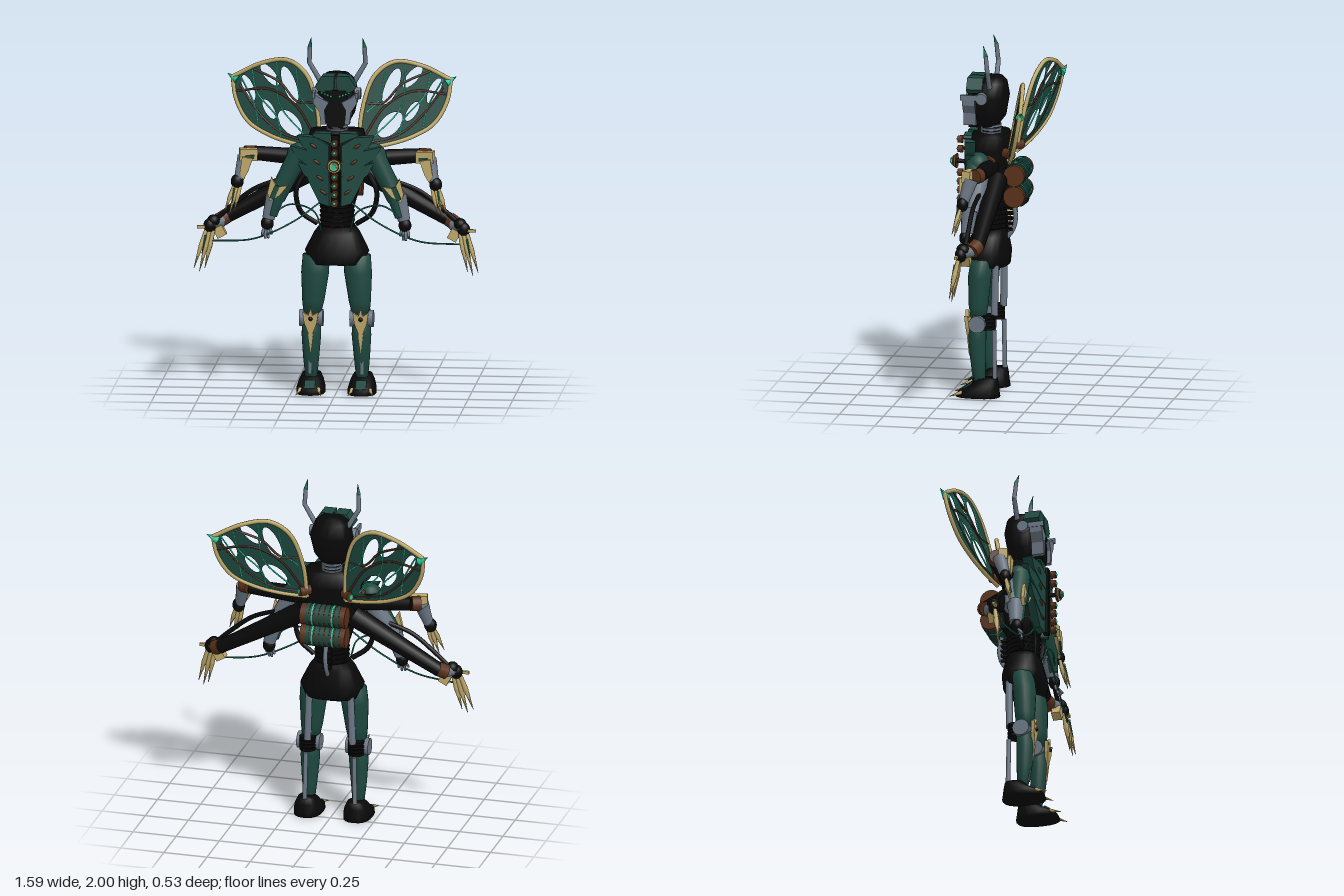
import * as THREE from 'three';

const paint = (name, color) => Object.assign(new THREE.MeshStandardMaterial({ color }), { name });
const black = paint('black', 0x080808), teal = paint('teal', 0x1d473f), gold = paint('gold', 0xbfa96a);
const grey = paint('grey', 0x6b7784), brown = paint('brown', 0x59311a), green = paint('green', 0x20c898);
const rust = paint('rust', 0x43251a), wire = paint('wireGreen', 0x1d6b58);
const V = (p) => new THREE.Vector3(...p);

function add(parent, name, geo, mat, pos = [0, 0, 0], rot = [0, 0, 0]) {
  const m = new THREE.Mesh(geo, mat);
  m.name = name;
  m.position.set(...pos);
  m.rotation.set(...rot);
  parent.add(m);
  return m;
}
// Tapered rod between two points
function limb(parent, name, mat, a, b, r1, r2 = r1, sides = 16) {
  const d = V(b).sub(V(a));
  const m = add(parent, name, new THREE.CylinderGeometry(r2, r1, d.length(), sides), mat);
  m.position.copy(V(a)).addScaledVector(d, 0.5);
  m.quaternion.setFromUnitVectors(new THREE.Vector3(0, 1, 0), d.normalize());
  return m;
}
function tube(parent, name, mat, pts, r, seg = 24, sides = 8) {
  return add(parent, name, new THREE.TubeGeometry(new THREE.CatmullRomCurve3(pts.map(V)), seg, r, sides), mat);
}
function ball(parent, name, mat, pos, r, scale = [1, 1, 1]) {
  return add(parent, name, new THREE.SphereGeometry(r, 16, 12).scale(...scale), mat, pos);
}
const box = (parent, name, mat, size, pos, rot) => add(parent, name, new THREE.BoxGeometry(...size), mat, pos, rot);
// Flat plate from outline points
function plate(parent, name, mat, pts, depth, pos, rot) {
  const s = new THREE.Shape(pts.map((p) => new THREE.Vector2(...p)));
  return add(parent, name, new THREE.ExtrudeGeometry(s, { depth, bevelEnabled: false }), mat, pos, rot);
}
// Body through stacked oval sections [y, x, z, rx, rz]
function loft(parent, name, mat, sections, n = 20, power = 1) {
  const pos = [], idx = [], rows = sections.length;
  const sq = (t) => Math.sign(t) * Math.abs(t) ** power;
  for (const [y, x, z, rx, rz] of sections)
    for (let i = 0; i < n; i++) {
      const a = (i / n) * Math.PI * 2;
      pos.push(x + rx * sq(Math.sin(a)), y, z + rz * sq(Math.cos(a)));
    }
  for (let j = 0; j < rows - 1; j++)
    for (let i = 0; i < n; i++) {
      const a = j * n + i, b = j * n + ((i + 1) % n);
      idx.push(a, b, b + n, a, b + n, a + n);
    }
  for (const j of [0, rows - 1]) {
    const [y, x, z] = sections[j], c = pos.length / 3;
    pos.push(x, y, z);
    for (let i = 0; i < n; i++) {
      const a = j * n + i, b = j * n + ((i + 1) % n);
      idx.push(...(j ? [c, a, b] : [c, b, a]));
    }
  }
  const g = new THREE.BufferGeometry();
  g.setAttribute('position', new THREE.Float32BufferAttribute(pos, 3));
  g.setIndex(idx);
  g.computeVertexNormals();
  return add(parent, name, g, mat);
}
// Copy of a group reflected across x = 0
function mirrored(group, name) {
  const out = new THREE.Group();
  out.name = name;
  group.updateMatrixWorld(true);
  group.traverse((o) => {
    if (!o.isMesh) return;
    const g = o.geometry.clone().applyMatrix4(o.matrixWorld).applyMatrix4(new THREE.Matrix4().makeScale(-1, 1, 1));
    const n = g.attributes.position.count, ix = g.index ? [...g.index.array] : Array.from({ length: n }, (_, i) => i);
    for (let i = 0; i < ix.length; i += 3) [ix[i], ix[i + 1]] = [ix[i + 1], ix[i]];
    g.setIndex(ix);
    add(out, o.name, g, o.material);
  });
  return out;
}

function buildWing(g) {
  const zAt = (x, y) => -0.08 - 0.21 * (x - 0.11) - 0.17 * (y - 1.35);
  const lift = ([x, y]) => [x, y, zAt(x, y)];
  const top = [[0.11, 1.35], [0.125, 1.56], [0.19, 1.75], [0.3, 1.825], [0.45, 1.8], [0.61, 1.72]];
  const low = [[0.61, 1.72], [0.59, 1.6], [0.52, 1.48], [0.4, 1.41], [0.26, 1.37], [0.11, 1.35]];
  const smooth = (p) => new THREE.SplineCurve(p.map((q) => new THREE.Vector2(...q))).getPoints(24);
  const shape = new THREE.Shape([...smooth(top), ...smooth(low).slice(1, -1)]);
  for (const [x, y, a, b, t] of [[0.52, 1.66, 0.075, 0.03, 1.15], [0.4, 1.74, 0.075, 0.03, 0.85], [0.285, 1.69, 0.105, 0.036, 1.2],
    [0.4, 1.55, 0.06, 0.026, 1.0], [0.28, 1.48, 0.085, 0.05, 0.8]])
    shape.holes.push(new THREE.Path().absellipse(x, y, a, b, 0, Math.PI * 2, true, t));
  const geo = new THREE.ExtrudeGeometry(shape, { depth: 0.006, bevelEnabled: false, curveSegments: 10 });
  const p = geo.attributes.position;
  for (let i = 0; i < p.count; i++) p.setZ(i, p.getZ(i) - 0.003 + zAt(p.getX(i), p.getY(i)));
  geo.computeVertexNormals();
  add(g, 'wingMembrane', geo, teal);
  for (const edge of [top, low]) tube(g, 'wingRim', gold, edge.map(lift), 0.012, 40);
  for (const v of [[[0.2, 1.42], [0.34, 1.58], [0.36, 1.81]], [[0.33, 1.4], [0.35, 1.5], [0.47, 1.64], [0.5, 1.77]],
    [[0.46, 1.46], [0.48, 1.56], [0.57, 1.73]], [[0.15, 1.55], [0.22, 1.62], [0.25, 1.78]]])
    tube(g, 'wingVein', green, v.map(lift), 0.0045, 20, 6);
  for (const v of [[[0.13, 1.4], [0.25, 1.58], [0.4, 1.66], [0.59, 1.64]], [[0.14, 1.38], [0.32, 1.42], [0.45, 1.52], [0.57, 1.68]],
    [[0.14, 1.6], [0.24, 1.6], [0.34, 1.7], [0.5, 1.77]]])
    tube(g, 'wingCable', rust, v.map(lift), 0.007, 24, 6);
  limb(g, 'wingTip', green, [0.585, 1.7, -0.24], [0.64, 1.735, -0.262], 0.024, 0.001, 8);
  limb(g, 'wingHinge', brown, [0.1, 1.385, -0.06], [0.15, 1.385, -0.105], 0.028);
  limb(g, 'wingHingeLight', green, [0.15, 1.385, -0.105], [0.154, 1.385, -0.109], 0.014);
}

// Hand: palm, knuckles and a fan of fingers or blades
function hand(g, mat, palm, tip, spread, r, count, tipRatio) {
  ball(g, 'palm', black, palm, 0.036, [1, 1.15, 0.9]);
  for (let k = 0; k < count; k++) {
    const i = k - (count - 1) / 2;
    const base = [palm[0] + i * spread * 0.7, palm[1] - 0.025, palm[2] + 0.01];
    const end = [tip[0] + i * spread, tip[1] + Math.abs(i) * 0.02, tip[2] + i * 0.008];
    const mid = base.map((v, j) => v + (end[j] - v) * 0.4);
    limb(g, 'fingerBase', mat, base, mid, r * 0.75, r, 6);
    limb(g, 'fingerTip', mat, mid, end, r, r * tipRatio, 6);
  }
}

function buildArms(g) {
  // Front arm: grey core with a teal shell on its front
  ball(g, 'shoulderPad', teal, [0.21, 1.34, 0.07], 0.068, [1, 1, 0.9]);
  limb(g, 'frontUpperArm', grey, [0.345, 1.09, 0.075], [0.22, 1.32, 0.05], 0.05, 0.052);
  limb(g, 'frontArmShell', teal, [0.335, 1.1, 0.098], [0.21, 1.35, 0.08], 0.05, 0.058);
  plate(g, 'elbowGuard', gold, [[-0.055, 0.06], [0, 0.03], [0.05, 0.07], [0.04, -0.02], [0.01, -0.06], [-0.03, -0.01]], 0.02, [0.335, 1.14, 0.135], [0, 0.1, 0.35]);
  box(g, 'elbowInset', teal, [0.028, 0.08, 0.01], [0.34, 1.14, 0.158], [0, 0, 0.4]);
  limb(g, 'frontForearm', grey, [0.38, 0.98, 0.1], [0.345, 1.12, 0.09], 0.034, 0.048);
  limb(g, 'forearmStripe', teal, [0.355, 1.0, 0.115], [0.325, 1.1, 0.11], 0.025, 0.034);
  hand(g, grey, [0.385, 0.955, 0.11], [0.385, 0.865, 0.14], 0.017, 0.009, 4, 0.8);
  // Middle arm
  limb(g, 'middleUpperArm', black, [0.12, 1.31, 0.02], [0.47, 1.335, 0.01], 0.05, 0.04);
  limb(g, 'middleCuff', brown, [0.47, 1.335, 0.01], [0.515, 1.335, 0.03], 0.042);
  box(g, 'middleElbow', gold, [0.1, 0.065, 0.05], [0.495, 1.335, 0.065], [0, -0.2, 0.05]);
  box(g, 'middleElbowInset', teal, [0.05, 0.02, 0.01], [0.485, 1.325, 0.09], [0, -0.2, 0.05]);
  limb(g, 'middleForearm', grey, [0.515, 1.32, 0.05], [0.545, 1.2, 0.085], 0.042, 0.028);
  plate(g, 'middleForearmGuard', gold, [[-0.035, 0.06], [0.025, 0.06], [0.025, -0.03], [0, -0.07], [-0.02, -0.02]], 0.02, [0.51, 1.265, 0.095], [0, 0, 0.15]);
  hand(g, gold, [0.555, 1.185, 0.09], [0.595, 1.005, 0.13], 0.026, 0.013, 3, 0.1);
  limb(g, 'middleHandGlint', wire, [0.57, 1.15, 0.115], [0.58, 1.07, 0.135], 0.006, 0.002, 6);
  // Lower arm
  limb(g, 'lowerUpperArm', black, [0.14, 1.24, -0.02], [0.64, 0.96, -0.01], 0.06, 0.038);
  limb(g, 'lowerCuff', brown, [0.625, 0.97, -0.01], [0.67, 0.945, 0.015], 0.042);
  box(g, 'lowerElbow', gold, [0.055, 0.06, 0.05], [0.655, 0.895, 0.05], [0, 0, -0.5]);
  limb(g, 'lowerForearm', grey, [0.65, 0.945, 0.02], [0.705, 0.94, 0.07], 0.036, 0.03);
  ball(g, 'lowerWrist', black, [0.69, 0.955, 0.06], 0.036);
  hand(g, gold, [0.71, 0.93, 0.07], [0.765, 0.675, 0.11], 0.03, 0.015, 3, 0.1);
  limb(g, 'lowerHandGlint', wire, [0.73, 0.88, 0.1], [0.75, 0.78, 0.117], 0.006, 0.002, 6);
  box(g, 'wristSpike', gold, [0.06, 0.016, 0.016], [0.75, 0.925, 0.085]);
  // Hoses and wires
  tube(g, 'armHose', black, [[0.3, 1.2, 0.04], [0.46, 1.14, 0.05], [0.58, 1.05, 0.05], [0.68, 0.96, 0.05]], 0.013);
  tube(g, 'sideHose', black, [[0.18, 1.24, 0.08], [0.225, 1.14, 0.09], [0.2, 1.02, 0.08], [0.11, 0.95, 0.06]], 0.014);
  tube(g, 'longWire', wire, [[0.09, 1.08, 0.13], [0.24, 0.97, 0.14], [0.46, 0.87, 0.13], [0.69, 0.85, 0.1]], 0.005, 32, 6);
  tube(g, 'shortWire', wire, [[0.08, 0.92, 0.13], [0.12, 1.03, 0.14], [0.25, 1.07, 0.14], [0.37, 1.0, 0.12]], 0.005, 32, 6);
}

function buildLeg(g) {
  loft(g, 'thigh', teal, [[0.45, 0.135, 0.085, 0.05, 0.045], [0.52, 0.13, 0.085, 0.062, 0.055], [0.68, 0.12, 0.08, 0.078, 0.065], [0.78, 0.115, 0.07, 0.075, 0.06]]);
  loft(g, 'shin', teal, [[0.09, 0.142, 0.075, 0.034, 0.032], [0.2, 0.142, 0.085, 0.045, 0.043], [0.33, 0.14, 0.09, 0.055, 0.05], [0.43, 0.14, 0.085, 0.05, 0.045]]);
  limb(g, 'kneeDisc', grey, [0.075, 0.42, 0.08], [0.207, 0.42, 0.08], 0.048, 0.048, 20);
  for (let i = 0; i < 4; i++) limb(g, 'kneeRing', black, [0.14, 0.385 + i * 0.022, 0.035], [0.14, 0.4 + i * 0.022, 0.035], 0.046);
  plate(g, 'shinGuard', gold, [[-0.045, 0.075], [-0.012, 0.055], [0, 0.1], [0.012, 0.055], [0.045, 0.075], [0.035, 0.01], [0.015, -0.04], [0, -0.16], [-0.015, -0.04], [-0.035, 0.01]], 0.02, [0.14, 0.39, 0.13], [0.08, 0, 0]);
  ball(g, 'kneeStud', black, [0.14, 0.425, 0.152], 0.012);
  box(g, 'ankleStrip', grey, [0.018, 0.08, 0.02], [0.145, 0.15, 0.11], [0.1, 0, 0]);
  limb(g, 'thighStrut', grey, [0.13, 0.46, -0.005], [0.12, 0.75, -0.01], 0.02);
  limb(g, 'shinStrut', grey, [0.145, 0.09, -0.01], [0.14, 0.38, -0.005], 0.013);
  loft(g, 'foot', black, [[0, 0.143, 0.085, 0.08, 0.125], [0.03, 0.143, 0.08, 0.08, 0.115], [0.07, 0.143, 0.045, 0.068, 0.075], [0.105, 0.143, 0.03, 0.05, 0.055]], 20, 0.8);
  for (const x of [-0.05, 0.05]) limb(g, 'toeClaw', gold, [0.145 + x, 0.03, 0.165], [0.145 + x * 1.4, 0.006, 0.235], 0.012, 0.001, 8);
  box(g, 'footPlate', teal, [0.06, 0.01, 0.07], [0.143, 0.052, 0.155], [0.6, 0, 0]);
}

function buildHeadSide(g) {
  limb(g, 'antennaBase', grey, [0.095, 1.75, 0.03], [0.157, 1.855, 0.03], 0.015, 0.013, 8);
  limb(g, 'antennaStem', grey, [0.157, 1.85, 0.03], [0.153, 1.945, 0.04], 0.013, 0.012, 8);
  limb(g, 'antennaTip', wire, [0.153, 1.945, 0.04], [0.144, 2, 0.055], 0.012, 0.001, 8);
  limb(g, 'earDisc', grey, [0.1, 1.69, 0.07], [0.135, 1.69, 0.07], 0.036, 0.032, 20);
  box(g, 'templeBand', grey, [0.015, 0.03, 0.12], [0.12, 1.695, 0.13]);
  plate(g, 'cheekGuard', grey, [[0.127, 1.71], [0.122, 1.65], [0.088, 1.6], [0.08, 1.53], [0.052, 1.53], [0.06, 1.61], [0.035, 1.655], [0.085, 1.68]], 0.07, [0, 0, 0.11]);
  for (let i = 0; i < 4; i++) ball(g, 'eye', green, [0.025 + i * 0.017, 1.687 + i * 0.006, 0.162], 0.006);
  plate(g, 'browPlate', teal, [[0.006, 1.735], [0.03, 1.7], [0.095, 1.715], [0.115, 1.74], [0.075, 1.8], [0.006, 1.8]], 0.09, [0, 0, 0.07]);
}

function buildChestSide(g) {
  // Swept plates with raised outer tips over the dark torso
  [[1.41, 0.21, 1.46], [1.32, 0.25, 1.4], [1.23, 0.21, 1.31], [1.15, 0.155, 1.22]].forEach(([y, tx, ty], i) => {
    plate(g, 'chestPlate', teal, [[0.024, y], [0.1 - i * 0.01, y + 0.045], [tx, ty], [tx - 0.035, ty - 0.065], [0.08, y - 0.07], [0.024, y - 0.085]], 0.06 - i * 0.004, [0, 0, 0.13], [0, 0.2, 0]);
    const r = ball(g, 'chestRivet', brown, [0.12 - i * 0.018, y - 0.005, 0.165], 0.012, [2, 0.7, 0.8]);
    r.rotation.z = 0.6;
  });
  plate(g, 'collarPlate', teal, [[0.024, 1.42], [0.13, 1.465], [0.12, 1.48], [0.024, 1.48]], 0.05, [0, 0, 0.125]);
  limb(g, 'shoulderSocket', brown, [0.15, 1.33, 0.03], [0.2, 1.33, 0.03], 0.05);
}

export function createModel() {
  const model = new THREE.Group();
  model.name = 'wingedArmourFigure';
  const body = new THREE.Group();
  body.name = 'body';
  model.add(body);

  // Torso, waist and pelvis
  loft(body, 'torso', black, [[1.06, 0, 0.04, 0.1, 0.09], [1.2, 0, 0.045, 0.14, 0.11], [1.4, 0, 0.05, 0.17, 0.12], [1.48, 0, 0.04, 0.15, 0.1]], 24, 0.75);
  for (let i = 0; i < 6; i++) add(body, 'waistRing', new THREE.CylinderGeometry(0.1, 0.092, 0.02, 20).scale(1, 1, 0.95), black, [0, 0.935 + i * 0.026, 0.04]);
  limb(body, 'waistCore', black, [0, 0.88, 0.04], [0, 1.1, 0.04], 0.088);
  loft(body, 'pelvis', black, [[0.73, 0, 0.05, 0.15, 0.115], [0.8, 0, 0.05, 0.18, 0.12], [0.9, 0, 0.045, 0.13, 0.1], [0.94, 0, 0.04, 0.1, 0.09]], 20, 0.8);
  tube(body, 'spineTube', grey, [[0, 1.08, -0.085], [0, 1.0, -0.1], [0, 0.93, -0.085], [0, 0.88, -0.05]], 0.013);
  for (let i = 0; i < 5; i++) box(body, 'spineTooth', black, [0.05, 0.012, 0.04], [0, 0.93 + i * 0.03, -0.065]);

  // Sternum studs and medallion
  box(body, 'sternum', black, [0.045, 0.4, 0.03], [0, 1.27, 0.172]);
  for (const y of [1.43, 1.375, 1.24, 1.19, 1.14, 1.09]) {
    limb(body, 'sternumStud', brown, [0, y, 0.2], [0, y, 0.228], 0.022, 0.02);
    ball(body, 'sternumLight', green, [0, y, 0.227], 0.009);
  }
  [[0.042, 0.237, brown], [0.037, 0.246, gold], [0.03, 0.255, teal], [0.022, 0.263, gold], [0.015, 0.27, green]].forEach(([r, z, m]) =>
    limb(body, 'medallion', m, [0, 1.305, z - 0.005], [0, 1.305, z], r, r, 24));
  limb(body, 'medallionStem', black, [0, 1.305, 0.18], [0, 1.305, 0.265], 0.012);

  // Neck and head
  for (let i = 0; i < 3; i++) limb(body, 'neckRing', grey, [0, 1.475 + i * 0.02, 0.04], [0, 1.488 + i * 0.02, 0.04], 0.06);
  limb(body, 'neck', black, [0, 1.46, 0.04], [0, 1.56, 0.04], 0.052);
  loft(body, 'helmet', black, [[1.52, 0, 0.06, 0.065, 0.06], [1.58, 0, 0.05, 0.1, 0.095], [1.69, 0, 0.045, 0.125, 0.108], [1.77, 0, 0.035, 0.095, 0.085], [1.8, 0, 0.03, 0.06, 0.055]], 16, 0.85);
  plate(body, 'facePlate', black, [[-0.06, 1.72], [-0.08, 1.6], [-0.04, 1.51], [0.04, 1.51], [0.08, 1.6], [0.06, 1.72]], 0.06, [0, 0, 0.1]);

  // Twin back tanks with alternating bands
  for (const y of [1.14, 1.26]) {
    limb(body, 'tank', brown, [-0.13, y, -0.115], [0.13, y, -0.115], 0.06, 0.06, 24);
    for (let i = -3; i <= 3; i++) limb(body, 'tankBand', teal, [i * 0.029 - 0.011, y, -0.115], [i * 0.029 + 0.011, y, -0.115], 0.0635, 0.0635, 24);
    for (const x of [-0.058, 0.058]) limb(body, 'tankLight', green, [x - 0.004, y, -0.115], [x + 0.004, y, -0.115], 0.065, 0.065, 24);
  }
  box(body, 'tankMount', black, [0.16, 0.2, 0.06], [0, 1.2, -0.06]);

  // Paired parts
  const pairs = { Wing: buildWing, Arms: buildArms, Leg: buildLeg, HeadSide: buildHeadSide, ChestSide: buildChestSide };
  for (const [name, build] of Object.entries(pairs)) {
    const left = new THREE.Group();
    left.name = 'left' + name;
    build(left);
    model.add(left, mirrored(left, 'right' + name));
  }
  return model;
}
